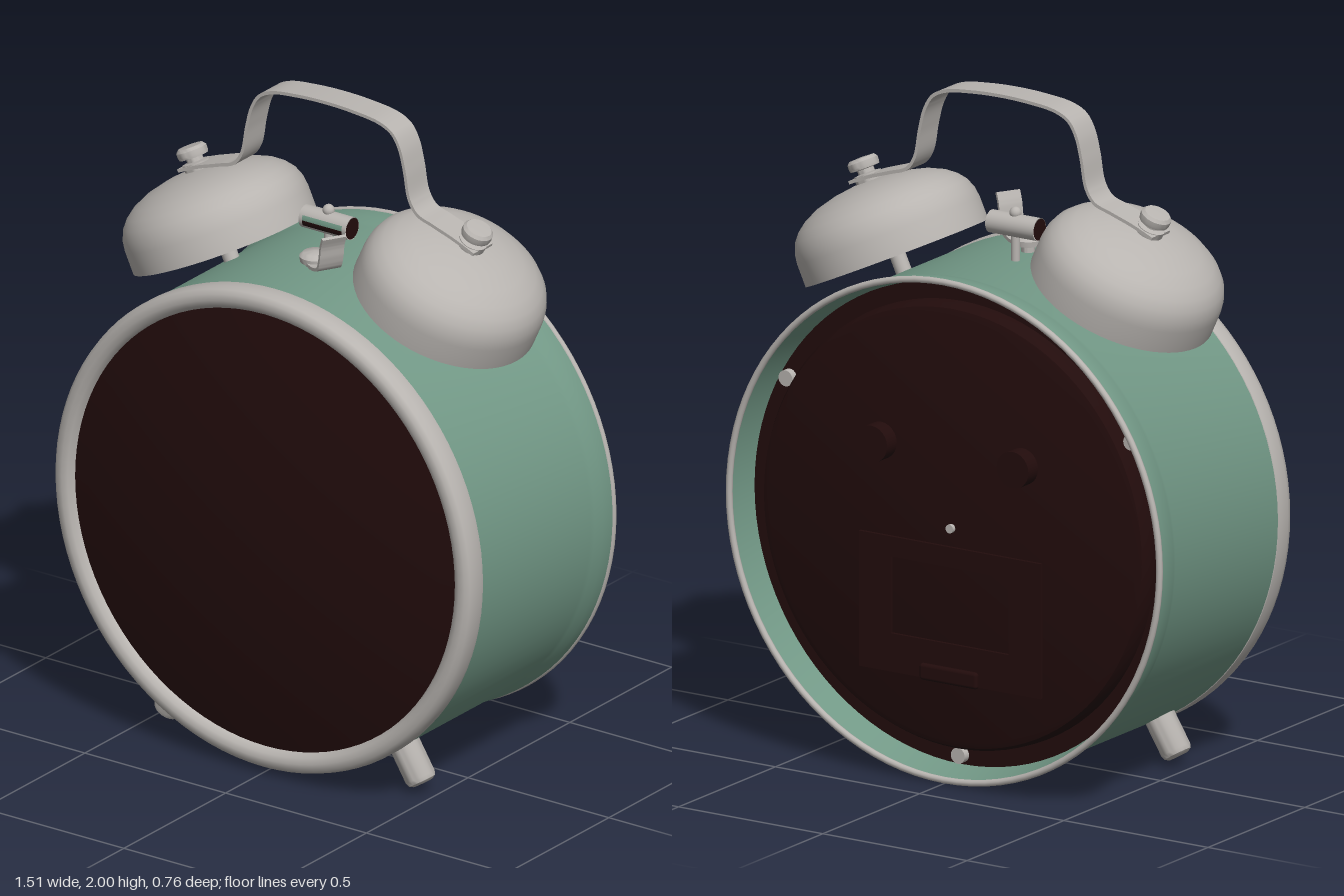
import * as THREE from 'three';
import { toCreasedNormals } from 'three/addons/utils/BufferGeometryUtils.js';
import { RoundedBoxGeometry } from 'three/addons/geometries/RoundedBoxGeometry.js';

const material = (name, color) => {
  const m = new THREE.MeshStandardMaterial({ color, side: THREE.DoubleSide });
  m.name = name;
  return m;
};
const CENTRE_Y = 0.76;

export function createModel() {
  const metal = material('satin metal', 0xb8b4b0);
  const green = material('sage green', 0x729886);
  const dark = material('dark brown', 0x220c0c);
  const model = new THREE.Group();
  model.name = 'alarmClock';

  const add = (parent, name, geometry, mat, x = 0, y = 0, z = 0) => {
    const mesh = new THREE.Mesh(geometry, mat);
    mesh.name = name;
    mesh.position.set(x, y, z);
    parent.add(mesh);
    return mesh;
  };
  const lathe = (points, segments = 64) => toCreasedNormals(
    new THREE.LatheGeometry(points.map(([r, h]) => new THREE.Vector2(r, h)), segments), 0.7);

  // A strip of even thickness that follows a curve in the xy plane
  const ribbon = (points, thickness, width, steps) => {
    const curve = new THREE.CatmullRomCurve3(points.map(([x, y]) => new THREE.Vector3(x, y, 0)));
    const upper = [], lower = [];
    for (let i = 0; i <= steps; i++) {
      const p = curve.getPoint(i / steps), t = curve.getTangent(i / steps);
      const nx = -t.y * thickness / 2, ny = t.x * thickness / 2;
      upper.push(new THREE.Vector2(p.x + nx, p.y + ny));
      lower.unshift(new THREE.Vector2(p.x - nx, p.y - ny));
    }
    const geometry = new THREE.ExtrudeGeometry(new THREE.Shape([...upper, ...lower]),
      { depth: width, bevelEnabled: false });
    geometry.translate(0, 0, -width / 2);
    return toCreasedNormals(geometry, 0.6);
  };

  // Drum: everything turned about the front-to-back axis
  const drum = new THREE.Group();
  drum.name = 'drum';
  drum.position.y = CENTRE_Y;
  drum.rotation.x = Math.PI / 2;
  model.add(drum);

  add(drum, 'bodyShell', lathe([
    [0.72, -0.28], [0.742, -0.37], [0.75, -0.372], [0.751, -0.35], [0.748, -0.32],
    [0.74, -0.29], [0.736, -0.275], [0.736, 0.255],
  ], 96), green);
  add(drum, 'frontRing', lathe([
    [0.69, 0.25], [0.73, 0.25], [0.738, 0.256], [0.741, 0.27], [0.741, 0.3], [0.736, 0.318],
    [0.724, 0.329], [0.705, 0.331], [0.688, 0.325], [0.677, 0.31], [0.674, 0.28],
  ], 96), metal);
  const dome = [];
  for (let i = 0; i <= 12; i++) {
    const r = 0.68 * (1 - i / 12);
    dome.push([r, 0.38 - r * r / 6]);
  }
  add(drum, 'frontGlass', lathe(dome, 96), dark);
  add(drum, 'backPanel', lathe([
    [0, -0.335], [0.635, -0.335], [0.655, -0.328], [0.665, -0.31], [0.668, -0.28], [0.725, -0.28],
  ], 96), dark);
  const rim = add(drum, 'backRim', new THREE.TorusGeometry(0.746, 0.01, 10, 96), metal, 0, -0.372, 0);
  rim.rotation.x = Math.PI / 2;

  // Back details
  const back = new THREE.Group();
  back.name = 'backDetails';
  back.position.y = CENTRE_Y;
  model.add(back);
  const peg = (name, r, length, mat, x, y, z) => {
    const mesh = add(back, name, new THREE.CylinderGeometry(r, r, length, 24), mat, x, y, z);
    mesh.rotation.x = Math.PI / 2;
  };
  for (const s of [-1, 1]) peg('settingKnob', 0.055, 0.06, dark, s * 0.245, 0.225, -0.355);
  peg('centrePin', 0.013, 0.02, metal, 0, 0, -0.337);
  for (let i = 0; i < 3; i++) {
    const a = -Math.PI / 2 + i * Math.PI * 2 / 3;
    peg('panelScrew', 0.024, 0.03, metal, 0.69 * Math.cos(a), 0.69 * Math.sin(a), -0.288);
  }
  const rectangle = (Type, x0, x1, y0, y1) => new Type([
    new THREE.Vector2(x0, y0), new THREE.Vector2(x1, y0),
    new THREE.Vector2(x1, y1), new THREE.Vector2(x0, y1),
  ]);
  const door = rectangle(THREE.Shape, -0.315, 0.315, -0.46, -0.055);
  door.holes.push(rectangle(THREE.Path, -0.205, 0.205, -0.345, -0.115));
  add(back, 'batteryDoor', new THREE.ExtrudeGeometry(door, { depth: 0.012, bevelEnabled: false }),
    dark, 0, 0, -0.345);
  add(back, 'doorLatch', new RoundedBoxGeometry(0.2, 0.05, 0.025, 3, 0.01), dark, 0, -0.44, -0.345);

  // Feet and bells, mirrored left and right
  for (const s of [-1, 1]) {
    const foot = add(model, 'foot', new THREE.CapsuleGeometry(0.046, 0.17, 6, 24), metal,
      s * 0.395, 0.13, 0.16);
    foot.geometry = lathe([
      [0, -0.115], [0.03, -0.115], [0.042, -0.108], [0.046, -0.095], [0.046, 0.1], [0, 0.1],
    ], 28);
    foot.rotation.z = s * 0.555;

    const bell = new THREE.Group();
    bell.name = s > 0 ? 'leftBell' : 'rightBell';
    bell.position.set(s * 0.39, 1.45, -0.036);
    bell.rotation.z = -s * 0.436;
    model.add(bell);
    add(bell, 'bellDome', lathe([
      [0.272, 0.003], [0.281, 0], [0.281, 0.07], [0.277, 0.1], [0.265, 0.13], [0.245, 0.155],
      [0.215, 0.178], [0.17, 0.199], [0.11, 0.215], [0.05, 0.223], [0, 0.225],
    ], 64), metal);
    add(bell, 'bellPost', new THREE.CylinderGeometry(0.024, 0.024, 0.34, 20), metal, 0, 0.05, 0);
    add(bell, 'bellScrew', lathe([
      [0.04, 0.22], [0.042, 0.245], [0.025, 0.248], [0.025, 0.26], [0.044, 0.262],
      [0.046, 0.27], [0.046, 0.284], [0.038, 0.293], [0, 0.295],
    ], 28), metal);
  }

  // Carrying handle: a bent flat strap
  const half = [[0.525, 1.65], [0.46, 1.678], [0.38, 1.705], [0.325, 1.725], [0.297, 1.765],
    [0.28, 1.85], [0.262, 1.915], [0.235, 1.957], [0.19, 1.979], [0.1, 1.991]];
  const mirrored = half.map(([x, y]) => [-x, y]);
  add(model, 'handle', ribbon([...mirrored, [0, 1.995], ...half.reverse()], 0.01, 0.094, 120),
    metal, 0, 0, -0.037);

  // Hammer between the bells
  const hammer = new THREE.Group();
  hammer.name = 'hammer';
  hammer.position.set(-0.022, 1.6, -0.037);
  model.add(hammer);
  add(hammer, 'hammerStem', new THREE.CylinderGeometry(0.013, 0.013, 0.15, 16), metal, 0, -0.04, 0);
  add(hammer, 'hammerNut', new THREE.SphereGeometry(0.018, 16, 10), metal, 0, 0.038, 0);
  const head = new THREE.Group();
  head.name = 'hammerHead';
  head.rotation.z = Math.PI / 2;
  hammer.add(head);
  add(head, 'headBarrel', new THREE.CylinderGeometry(0.034, 0.034, 0.166, 28, 1, true), metal);
  for (const s of [-1, 1]) {
    const cap = add(head, 'headEnd', new THREE.CircleGeometry(0.032, 28), dark, 0, s * 0.0835, 0);
    cap.rotation.x = -s * Math.PI / 2;
  }
  // Painted bands on the front of the head
  add(head, 'greenBand', new THREE.CylinderGeometry(0.035, 0.035, 0.14, 8, 1, true, 0, 0.45), green);
  add(head, 'darkBand', new THREE.CylinderGeometry(0.035, 0.035, 0.14, 8, 1, true, -0.5, 0.5), dark);

  // Stop lever in front of the hammer
  const lever = new THREE.Group();
  lever.name = 'stopLever';
  lever.position.set(0, 1.5, 0.06);
  lever.rotation.y = -0.52;
  model.add(lever);
  add(lever, 'leverPivot', lathe([
    [0.02, -0.02], [0.02, 0.015], [0.044, 0.018], [0.046, 0.035], [0.035, 0.046], [0, 0.05],
  ], 28), metal);
  add(lever, 'leverBlade', ribbon([
    [0, 0.02], [0.06, 0.022], [0.095, 0.035], [0.11, 0.07], [0.118, 0.11], [0.132, 0.142],
  ], 0.01, 0.075, 30), metal);

  return model;
}
